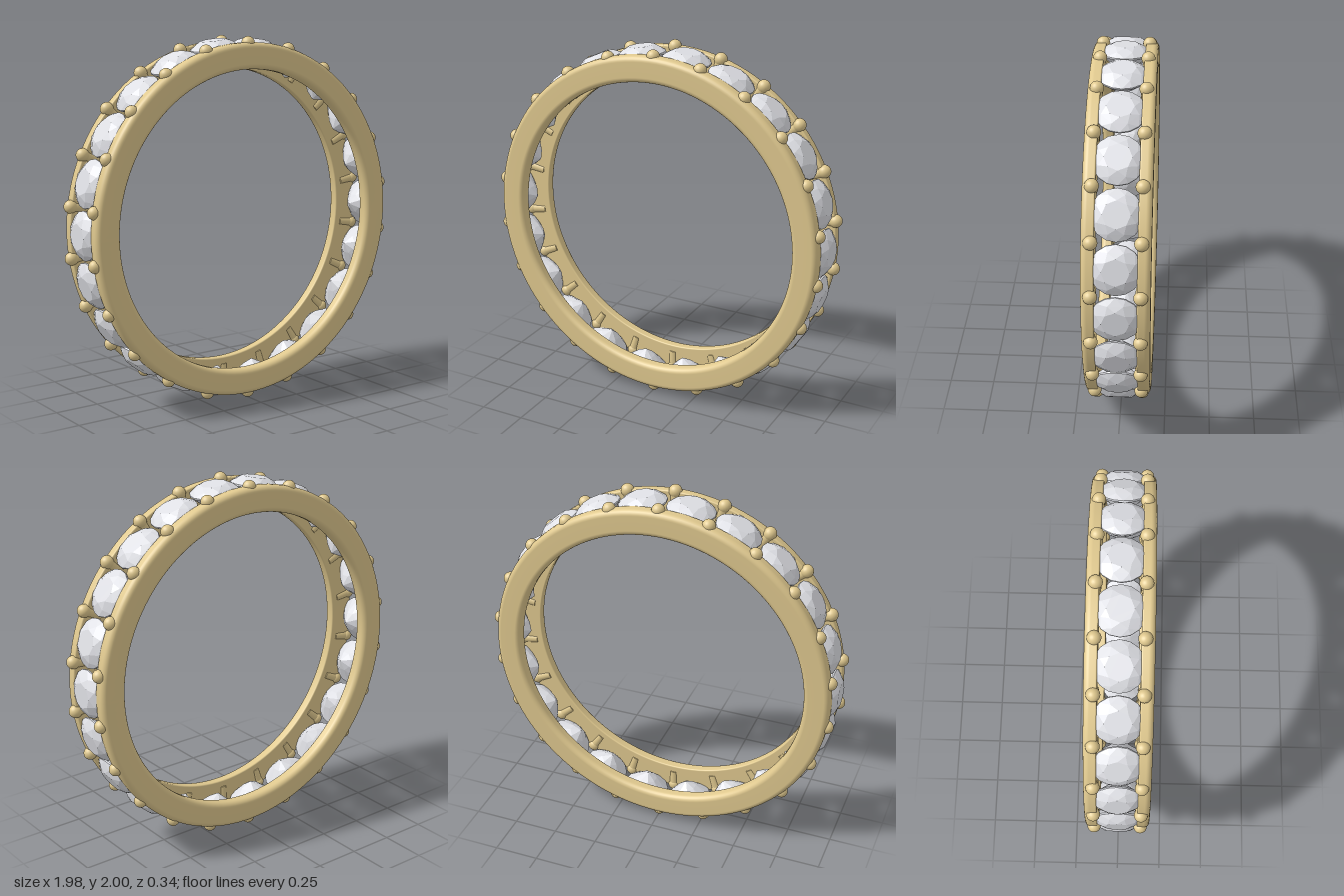
import * as THREE from 'three';
import { ConvexGeometry } from 'three/addons/geometries/ConvexGeometry.js';

const COUNT = 22;
const STEP = (Math.PI * 2) / COUNT;

// Rounded cross-section of one rail, swept round the ring axis
function railGeometry() {
  const rIn = 0.825, rOut = 0.968, zIn = 0.105, zOut = 0.172;
  const corners = [
    [rOut, zIn, 1, -1, 0.008], [rOut, zOut, 1, 1, 0.03],
    [rIn, zOut, -1, 1, 0.03], [rIn, zIn, -1, -1, 0.008],
  ];
  const profile = [];
  corners.forEach(([r, z, sr, sz, c], i) => {
    for (let k = 0; k <= 6; k++) {
      const a = (i - 1) * Math.PI / 2 + (k / 6) * Math.PI / 2;
      profile.push(new THREE.Vector2(r - sr * c + c * Math.cos(a), z - sz * c + c * Math.sin(a)));
    }
  });
  profile.push(profile[0].clone());
  return new THREE.LatheGeometry(profile, 128);
}

// Brilliant cut: table, crown, thin girdle, pavilion and culet; y points outwards
function stoneGeometry() {
  const pts = [];
  const ring = (n, r, y, offset = 0) => {
    for (let i = 0; i < n; i++) {
      const a = ((i + offset) / n) * Math.PI * 2;
      pts.push(new THREE.Vector3(r * Math.cos(a), y, r * Math.sin(a)));
    }
  };
  ring(8, 0.07, 0.046);
  ring(8, 0.103, 0.029, 0.5);
  ring(16, 0.131, 0.004);
  ring(16, 0.131, -0.004);
  ring(8, 0.055, -0.074, 0.5);
  pts.push(new THREE.Vector3(0, -0.108, 0));
  return new ConvexGeometry(pts);
}

export function createModel() {
  const ring = new THREE.Group();
  ring.name = 'ring';
  const gold = new THREE.MeshStandardMaterial({ color: 0xe0c98f });
  const gem = new THREE.MeshStandardMaterial({ color: 0xdfe0e5, flatShading: true });

  const add = (parent, name, geometry, material, x = 0, y = 0, z = 0) => {
    const mesh = new THREE.Mesh(geometry, material);
    mesh.name = name;
    mesh.position.set(x, y, z);
    parent.add(mesh);
    return mesh;
  };

  // Front and back rails
  const rail = railGeometry();
  for (const side of [1, -1]) {
    add(ring, side > 0 ? 'frontRail' : 'backRail', rail, gold).rotation.x = side * Math.PI / 2;
  }

  // Stones, with a pair of beaded prongs between neighbours
  const stone = stoneGeometry();
  const bead = new THREE.SphereGeometry(0.036, 20, 14);
  const prong = new THREE.CylinderGeometry(0.03, 0.026, 0.1, 16);
  for (let i = 0; i < COUNT; i++) {
    const seat = new THREE.Group();
    seat.name = 'stoneSetting';
    seat.rotation.z = i * STEP - Math.PI / 2;
    add(seat, 'stone', stone, gem, 0, 0.943, 0);
    ring.add(seat);

    const prongs = new THREE.Group();
    prongs.name = 'prongPair';
    prongs.rotation.z = (i + 0.5) * STEP - Math.PI / 2;
    for (const side of [1, -1]) {
      add(prongs, 'bead', bead, gold, 0, 0.964, side * 0.124);
      add(prongs, 'prong', prong, gold, 0, 0.914, side * 0.124);
    }
    ring.add(prongs);
  }

  ring.position.y = 1;
  const model = new THREE.Group();
  model.add(ring);
  return model;
}
